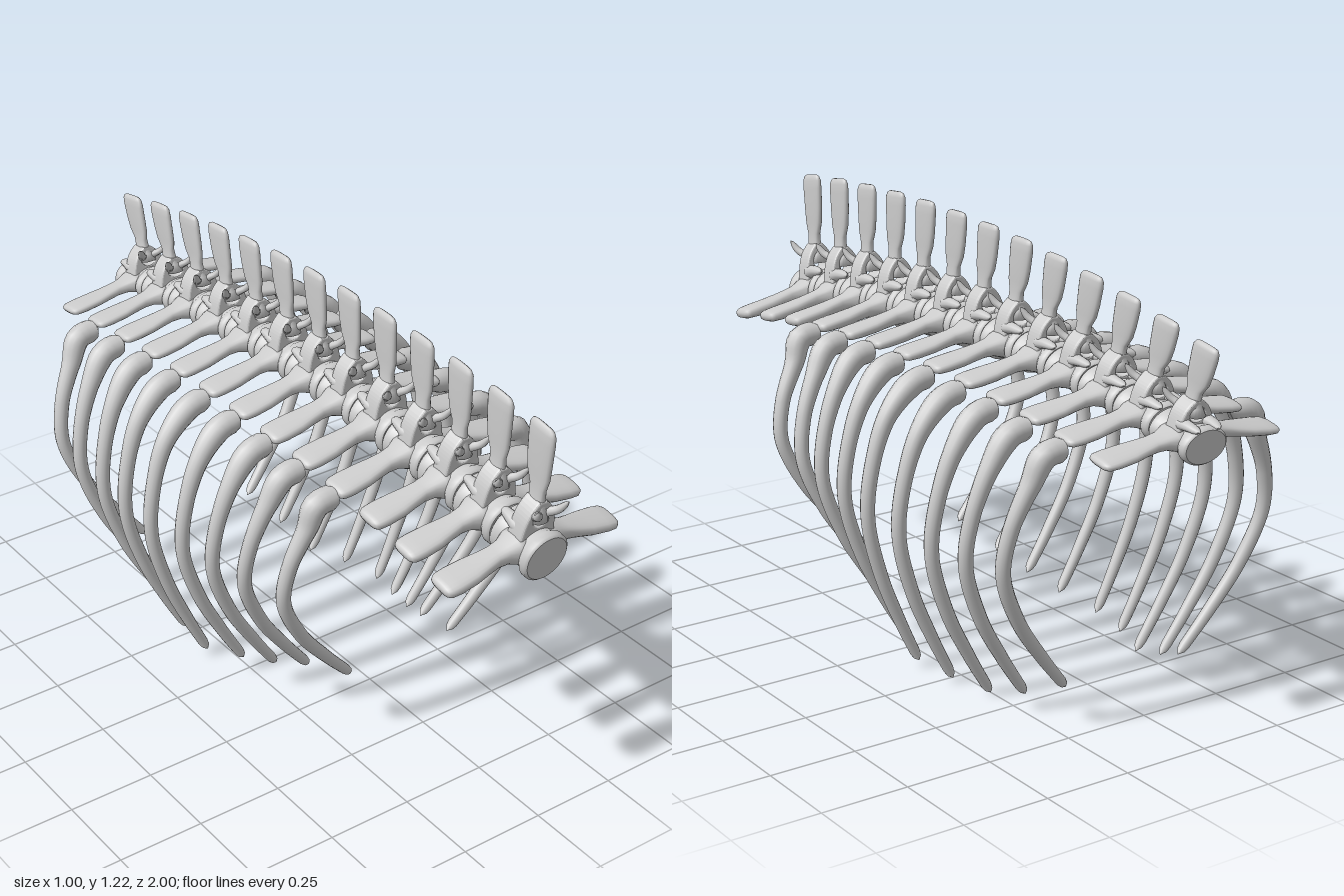
import * as THREE from 'three';

const material = new THREE.MeshStandardMaterial({ color: 0xcccccc });

function addMesh(parent, name, geometry) {
  const mesh = new THREE.Mesh(geometry, material);
  mesh.name = name;
  parent.add(mesh);
  return mesh;
}

// Closed skin over rounded sections [y, half width x, half depth z, centre x, centre z]
function loft(sections, power = 1, n = 20) {
  const pos = [], index = [];
  const bend = (v) => Math.sign(v) * Math.abs(v) ** power;
  for (const [y, a, b, cx = 0, cz = 0] of sections) {
    for (let j = 0; j < n; j++) {
      const t = (j / n) * Math.PI * 2;
      pos.push(cx + a * bend(Math.cos(t)), y, cz + b * bend(Math.sin(t)));
    }
  }
  for (let i = 0; i < sections.length - 1; i++) {
    for (let j = 0; j < n; j++) {
      const a = i * n + j, b = i * n + (j + 1) % n;
      index.push(a, a + n, b, b, a + n, b + n);
    }
  }
  // end caps
  for (const end of [0, sections.length - 1]) {
    const [y, , , cx = 0, cz = 0] = sections[end];
    const c = pos.length / 3;
    pos.push(cx, y, cz);
    for (let j = 0; j < n; j++) {
      const a = end * n + j, b = end * n + (j + 1) % n;
      if (end) index.push(a, c, b); else index.push(a, b, c);
    }
  }
  const g = new THREE.BufferGeometry();
  g.setAttribute('position', new THREE.Float32BufferAttribute(pos, 3));
  g.setIndex(index);
  g.computeVertexNormals();
  return g;
}

// Tube along points with radii interpolated from a list, rounded at both ends
function taperTube(points, radii, segments, sides) {
  const curve = new THREE.CatmullRomCurve3(points.map((p) => new THREE.Vector3(...p)));
  const g = new THREE.TubeGeometry(curve, segments, 1, sides);
  const pos = g.attributes.position, v = new THREE.Vector3();
  for (let i = 0; i <= segments; i++) {
    const t = i / segments, p = curve.getPointAt(t);
    const f = t * (radii.length - 1), k = Math.min(Math.floor(f), radii.length - 2);
    let r = THREE.MathUtils.lerp(radii[k], radii[k + 1], f - k);
    const fromEnd = Math.min(i, segments - i);
    if (fromEnd < 2) r *= [0, 0.8][fromEnd];
    for (let j = 0; j <= sides; j++) {
      const q = i * (sides + 1) + j;
      v.fromBufferAttribute(pos, q).sub(p).multiplyScalar(r).add(p);
      pos.setXYZ(q, v.x, v.y, v.z);
    }
  }
  // keep the tube's own radial normals, which are smooth across the seam
  return g;
}

// Spool-shaped vertebral body, lying along z
function bodyGeometry() {
  const profile = [[0, -0.074], [0.064, -0.074], [0.064, -0.074], [0.071, -0.068], [0.072, -0.052],
    [0.062, -0.036], [0.059, 0], [0.062, 0.036], [0.072, 0.052], [0.071, 0.068],
    [0.064, 0.074], [0.064, 0.074], [0, 0.074]];
  return new THREE.LatheGeometry(profile.map((p) => new THREE.Vector2(...p)), 32).rotateX(Math.PI / 2);
}

// Arch with an opening for the spinal canal
function archGeometry() {
  const s = new THREE.Shape();
  s.moveTo(-0.058, 0.03);
  s.lineTo(0.058, 0.03);
  s.bezierCurveTo(0.05, 0.08, 0.05, 0.115, 0.012, 0.15);
  s.lineTo(-0.012, 0.15);
  s.bezierCurveTo(-0.05, 0.115, -0.05, 0.08, -0.058, 0.03);
  const hole = new THREE.Path();
  hole.absellipse(0, 0.096, 0.023, 0.026, 0, Math.PI * 2, true);
  s.holes.push(hole);
  return new THREE.ExtrudeGeometry(s, {
    depth: 0.04, bevelSize: 0.006, bevelThickness: 0.008, bevelOffset: -0.006, bevelSegments: 3, curveSegments: 12,
  }).translate(0, 0, -0.02);
}

// Upright blade: narrow neck, wide rounded top
const spineBlade = loft([
  [0.09, 0.03, 0.042], [0.12, 0.019, 0.032], [0.145, 0.014, 0.026], [0.18, 0.011, 0.028, 0, -0.004],
  [0.215, 0.012, 0.04, 0, -0.01], [0.26, 0.013, 0.044, 0, -0.016], [0.32, 0.013, 0.047, 0, -0.022],
  [0.345, 0.012, 0.046, 0, -0.024], [0.357, 0.009, 0.04, 0, -0.025], [0.362, 0.003, 0.03, 0, -0.025],
], 0.75);

// Side wing: wide root, waist, flat paddle end
const wing = loft([
  [0.03, 0.05, 0.055, -0.005], [0.06, 0.038, 0.046, -0.005], [0.085, 0.027, 0.034, -0.002],
  [0.115, 0.023, 0.031, 0.003], [0.15, 0.021, 0.036, 0.01], [0.19, 0.02, 0.043, 0.018],
  [0.24, 0.019, 0.046, 0.026], [0.268, 0.017, 0.044, 0.03], [0.278, 0.013, 0.037, 0.031], [0.282, 0.005, 0.025, 0.031],
], 0.75).rotateZ(-Math.PI / 2);
const wings = { 1: wing, [-1]: wing.clone().rotateY(Math.PI) };

const spineY = (z) => 0.91 - 0.09 * z * z;

function vertebra(z, shrink, body, arch) {
  const g = new THREE.Group();
  g.name = 'vertebra';
  addMesh(g, 'vertebralBody', body);
  addMesh(g, 'neuralArch', arch);
  addMesh(g, 'spinousProcess', spineBlade);
  for (const s of [1, -1]) {
    addMesh(g, 'transverseProcess', wings[s]);
    // curved prongs reaching forward, and short stubs behind
    addMesh(g, 'frontProng', taperTube(
      [[s * 0.012, 0.09, 0.0], [s * 0.022, 0.115, 0.03], [s * 0.034, 0.13, 0.048], [s * 0.047, 0.162, 0.066]],
      [0.02, 0.013, 0.011, 0.006], 12, 10));
    addMesh(g, 'rearStub', taperTube(
      [[s * 0.036, 0.06, 0], [s * 0.036, 0.068, -0.04], [s * 0.032, 0.066, -0.08]],
      [0.024, 0.018, 0.011], 10, 10));
  }
  g.position.set(0, spineY(z), z);
  g.rotation.x = Math.atan(0.18 * z);
  g.scale.y = shrink;
  return g;
}

// Curved rib from wing end to free tip; widest = outermost centre line
function rib(side, z, widest, tipX, tipY, tipZ) {
  const top = spineY(z) - 0.045;
  const inward = widest - tipX;
  const path = [[0, 0.265], [0.015, 0.335], [0.11, widest - 0.062], [0.28, widest - 0.012], [0.45, widest],
    [0.66, widest - inward * 0.25], [0.84, widest - inward * 0.62], [1, tipX]];
  const points = path.map(([f, x]) => [side * x, top + (tipY - top) * f, z + (tipZ - z) * f]);
  return taperTube(points, [0.034, 0.035, 0.026, 0.022, 0.021, 0.02, 0.02, 0.019, 0.018, 0.016, 0.014], 56, 14);
}

// z, widest, tip x, tip y, tip z
const ribs = [
  [0.45, 0.42, 0.17, 0.192, 0.385], [0.3, 0.44, 0.2, 0.14, 0.225], [0.15, 0.455, 0.235, 0.095, 0.115],
  [0, 0.465, 0.27, 0.06, 0], [-0.15, 0.478, 0.31, 0.03, -0.13], [-0.3, 0.472, 0.29, 0.022, -0.27],
  [-0.45, 0.46, 0.25, 0.014, -0.395], [-0.6, 0.45, 0.23, 0.055, -0.53], [-0.75, 0.43, 0.19, 0.11, -0.655],
];

export function createModel() {
  const model = new THREE.Group();
  model.name = 'ribCage';
  const body = bodyGeometry(), arch = archGeometry();
  // row of vertebrae, lower towards the back
  for (let i = 0; i < 13; i++) {
    model.add(vertebra(0.9 - i * 0.15, 1 - 0.28 * i / 12, body, arch));
  }
  for (const r of ribs) {
    addMesh(model, 'leftRib', rib(1, ...r));
    addMesh(model, 'rightRib', rib(-1, ...r));
  }
  return model;
}
